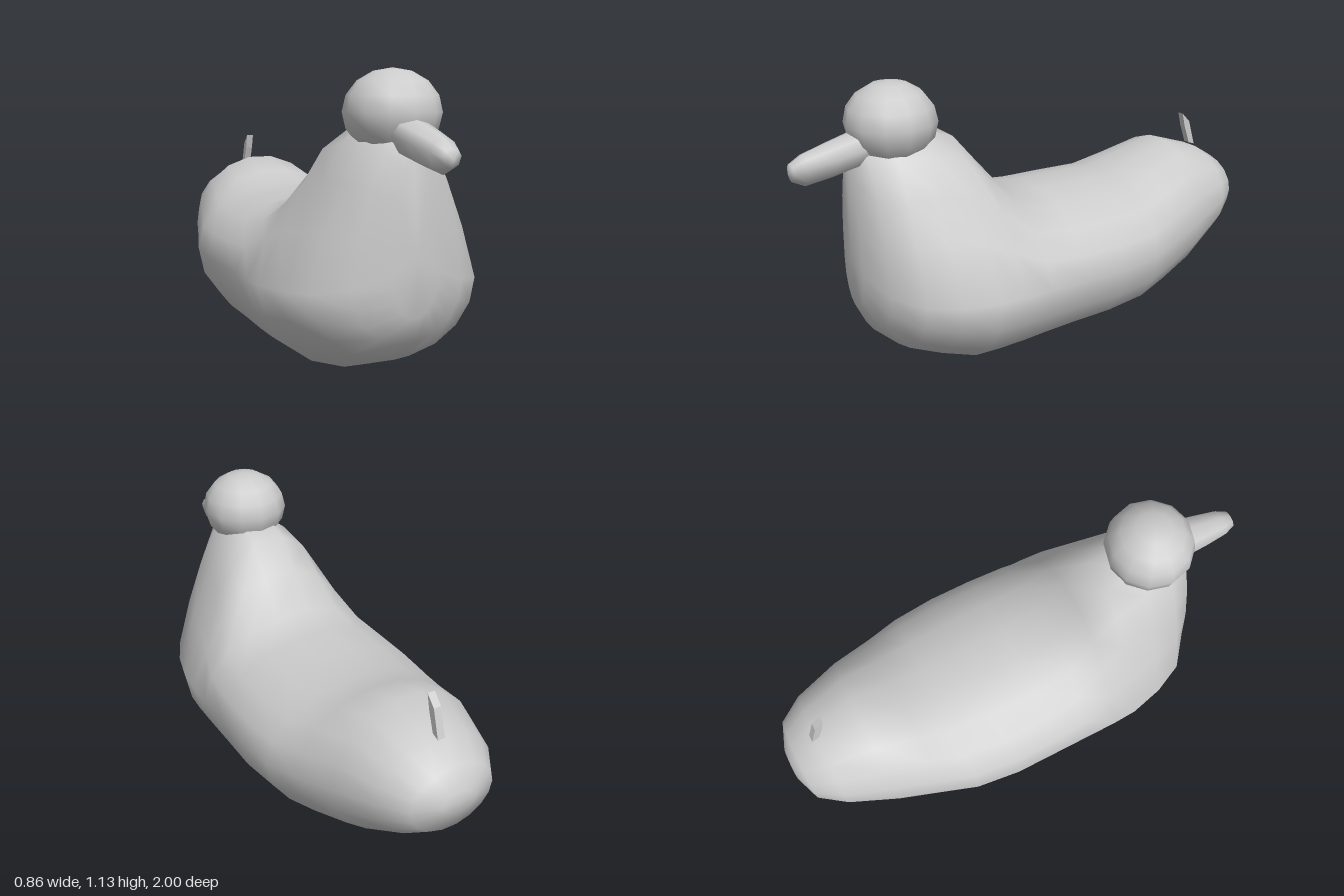
import * as THREE from 'three';
import { mergeVertices } from 'three/addons/utils/BufferGeometryUtils.js';

const material = new THREE.MeshStandardMaterial({ color: 0xcccccc });

// Closed skin over sections [z, bottom, top, halfWidth, widestY, pinch], given front to back.
function loft(sections, sides) {
  const positions = [], index = [];
  for (const [z, bottom, top, w, mid, pinch = 0] of sections) {
    for (let j = 0; j < sides; j++) {
      const a = (j / sides) * Math.PI * 2;
      const s = Math.sin(a);
      const taper = s > 0 ? 1 - pinch * Math.abs(Math.sin(2 * a)) : 1;
      positions.push(w * Math.cos(a) * taper, mid + s * (s > 0 ? top - mid : mid - bottom), z);
    }
  }
  for (let i = 0; i < sections.length - 1; i++) {
    for (let j = 0; j < sides; j++) {
      const k = (j + 1) % sides;
      const a = i * sides + j, b = i * sides + k;
      const c = a + sides, d = b + sides;
      index.push(a, c, b, b, c, d);
    }
  }
  const geometry = new THREE.BufferGeometry();
  geometry.setAttribute('position', new THREE.Float32BufferAttribute(positions, 3));
  geometry.setIndex(index);
  const merged = mergeVertices(geometry, 1e-4);
  merged.computeVertexNormals();
  return merged;
}

function add(group, name, geometry, mat = material) {
  const mesh = new THREE.Mesh(geometry, mat);
  mesh.name = name;
  group.add(mesh);
  return mesh;
}

export function createModel() {
  const group = new THREE.Group();
  group.name = 'duck';

  // Body: breast and neck, saddle of the back, raised rump
  add(group, 'body', loft([
    [0.79, 0.5, 0.5, 0, 0.5],
    [0.78, 0.29, 0.87, 0.09, 0.45, 0.0],
    [0.73, 0.19, 0.93, 0.22, 0.4, 0.1],
    [0.64, 0.11, 0.96, 0.335, 0.38, 0.2],
    [0.52, 0.06, 0.97, 0.39, 0.37, 0.25],
    [0.38, 0.01, 0.93, 0.425, 0.37, 0.25],
    [0.28, 0.01, 0.81, 0.43, 0.37, 0.18],
    [0.16, 0.015, 0.67, 0.43, 0.37, 0.04],
    [0.0, 0.03, 0.65, 0.43, 0.37],
    [-0.18, 0.04, 0.65, 0.43, 0.37],
    [-0.36, 0.055, 0.65, 0.41, 0.38],
    [-0.5, 0.09, 0.69, 0.365, 0.4],
    [-0.67, 0.15, 0.74, 0.315, 0.44],
    [-0.86, 0.27, 0.68, 0.245, 0.48],
    [-0.96, 0.35, 0.62, 0.175, 0.49],
    [-1.0, 0.45, 0.54, 0.07, 0.49],
    [-1.0, 0.49, 0.49, 0, 0.49],
  ], 18));

  // Head
  const head = add(group, 'head', new THREE.SphereGeometry(1, 12, 8));
  head.scale.set(0.178, 0.155, 0.175);
  head.position.set(0, 0.995, 0.6);

  // Bill, tipped slightly downward
  add(group, 'bill', loft([
    [1.0, 0.86, 0.86, 0, 0.86],
    [0.99, 0.83, 0.895, 0.035, 0.87],
    [0.94, 0.805, 0.925, 0.055, 0.88],
    [0.84, 0.82, 0.955, 0.07, 0.9],
    [0.75, 0.84, 0.98, 0.08, 0.92],
    [0.66, 0.87, 0.99, 0.07, 0.94],
    [0.66, 0.94, 0.94, 0, 0.94],
  ], 8));

  // Small upright tail feather
  const feather = new THREE.Shape();
  feather.moveTo(0.80, 0.83);
  feather.lineTo(0.84, 0.79);
  feather.lineTo(0.875, 0.68);
  feather.lineTo(0.845, 0.69);
  feather.lineTo(0.815, 0.77);
  feather.closePath();
  const tail = add(group, 'tailFeather',
    new THREE.ExtrudeGeometry(feather, { depth: 0.03, bevelEnabled: false }));
  tail.rotation.y = Math.PI / 2;
  tail.position.x = -0.015;

  return group;
}
